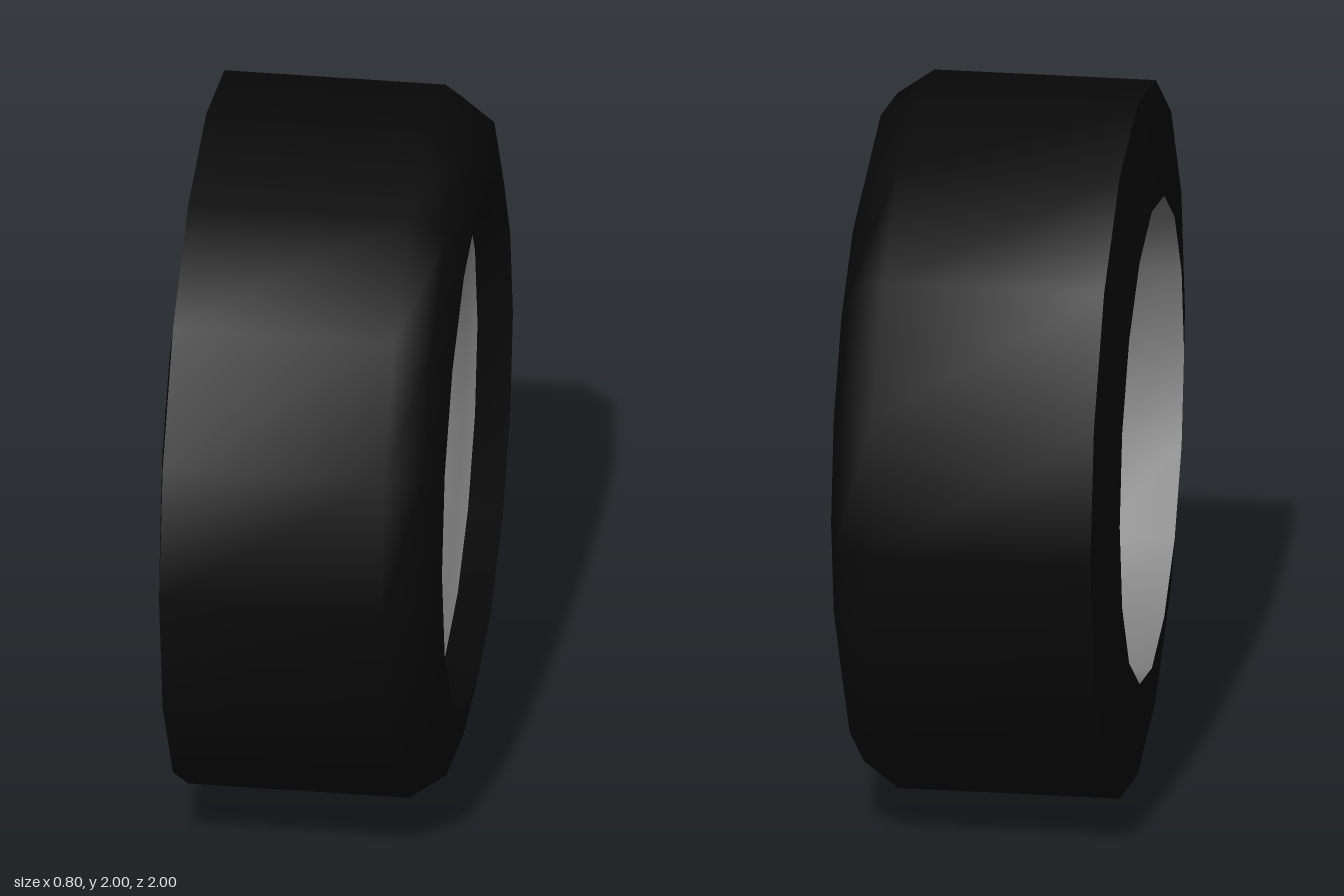
import * as THREE from 'three';
import { toCreasedNormals } from 'three/addons/utils/BufferGeometryUtils.js';

const SIDES = 16;

// Spins a profile of [x along the axle, radius] pairs around the axle.
// Edges sharper than the crease angle (degrees) stay hard.
function spin(name, color, crease, profile) {
  const points = profile.map(([x, r]) => new THREE.Vector2(r, x));
  const lathe = new THREE.LatheGeometry(points, SIDES);
  lathe.rotateZ(-Math.PI / 2);
  const geometry = toCreasedNormals(lathe, THREE.MathUtils.degToRad(crease));
  const mesh = new THREE.Mesh(geometry, new THREE.MeshStandardMaterial({ color }));
  mesh.name = name;
  return mesh;
}

export function createModel() {
  const wheel = new THREE.Group();
  wheel.name = 'wheel';

  const rubber = 0x090909;
  const metal = 0x7f7f7f;
  const darkMetal = 0x2a2a2a;

  // Tyre: inner wall, tread, bevelled shoulder, outer wall and lip
  wheel.add(spin('tyre', rubber, 45, [
    [-0.4, 0.68], [-0.36, 1], [0.26, 1], [0.36, 0.93], [0.4, 0.75], [0.31, 0.68],
  ]));

  // Outer rim: dished wall, then a raised ridge around the hub
  wheel.add(spin('rim', metal, 33, [
    [0.31, 0.68], [0.28, 0.65], [0.24, 0.59], [0.09, 0.5], [0.165, 0.415], [0.11, 0.32],
  ]));

  // Hub cap: short drum with a softly rounded face
  wheel.add(spin('hubCap', darkMetal, 50, [
    [0.1, 0.33], [0.16, 0.33], [0.185, 0.31], [0.2, 0.28], [0.205, 0],
  ]));

  // Inner side: flat disc at the bottom of a straight well
  wheel.add(spin('innerWell', metal, 33, [
    [-0.165, 0], [-0.165, 0.68], [-0.4, 0.68],
  ]));

  wheel.position.y = 1;
  const model = new THREE.Group();
  model.add(wheel);
  return model;
}
